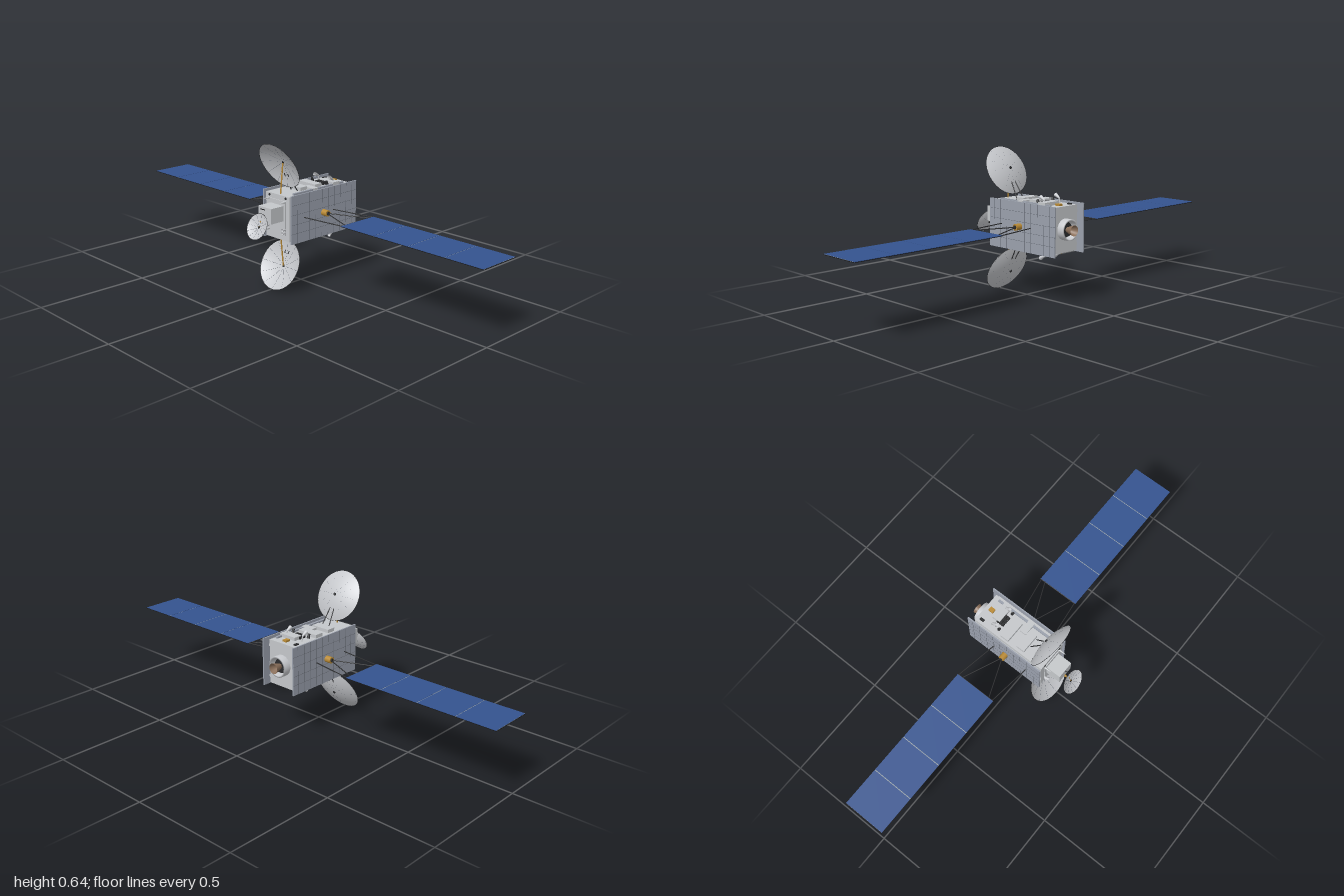
import * as THREE from 'three';

const CY = 0.322; // height of the satellite's long axis

function mat(name, color, double = false) {
  const m = new THREE.MeshStandardMaterial({ color, side: double ? THREE.DoubleSide : THREE.FrontSide });
  m.name = name;
  return m;
}

export function createModel() {
  const root = new THREE.Group();
  root.name = 'satellite';
  const M = {
    body: mat('light grey', 0xc4c7ca),
    panel: mat('blue grey', 0x9aa0ac),
    line: mat('seam grey', 0x666b75),
    dish: mat('dish grey', 0xc6c8cc, true),
    gold: mat('gold', 0xb98a35),
    dark: mat('dark grey', 0x2b2c2e),
    cell: mat('solar blue', 0x34538f),
    black: mat('black', 0x141416),
    engine: mat('engine brown', 0x8a6f5a, true),
    gap: mat('pale gap', 0x9aa3a8),
  };
  const V = (x, y, z) => new THREE.Vector3(x, y, z);
  const UP = V(0, 1, 0);

  function add(name, geo, material, x = 0, y = 0, z = 0, parent = root) {
    const mesh = new THREE.Mesh(geo, material);
    mesh.name = name;
    mesh.position.set(x, y, z);
    parent.add(mesh);
    return mesh;
  }
  const box = (name, m, w, h, d, x, y, z) => add(name, new THREE.BoxGeometry(w, h, d), m, x, y, z);

  // Straight rod or cone between two points
  function rod(name, m, a, b, r1, r2 = r1, sides = 10, open = false) {
    const dir = b.clone().sub(a), mid = a.clone().add(b).multiplyScalar(0.5);
    const mesh = add(name, new THREE.CylinderGeometry(r2, r1, dir.length(), sides, 1, open), m, mid.x, mid.y, mid.z);
    mesh.quaternion.setFromUnitVectors(UP, dir.normalize());
    return mesh;
  }

  // Parabolic dish: rim centre, facing direction, radius and depth
  function dish(name, centre, facing, R, depth) {
    const g = new THREE.Group();
    g.name = name;
    g.position.copy(centre).addScaledVector(facing, -depth);
    g.quaternion.setFromUnitVectors(UP, facing);
    const pts = [];
    for (let i = 0; i <= 12; i++) pts.push(new THREE.Vector2(R * i / 12, depth * (i / 12) ** 2));
    add('reflector', new THREE.LatheGeometry(pts, 48), M.dish, 0, 0, 0, g);
    const rim = add('rim', new THREE.TorusGeometry(R, 0.001, 6, 48), M.dark, 0, depth, 0, g);
    rim.rotation.x = Math.PI / 2;
    // fine ribs lying on the inside of the reflector
    for (let k = 0; k < 12; k++) {
      const path = new THREE.CatmullRomCurve3([0.15, 0.4, 0.7, 0.97].map(t => V(R * t, depth * t * t + 0.0003, 0)));
      const rib = add('rib', new THREE.TubeGeometry(path, 8, 0.0005, 4), M.line, 0, 0, 0, g);
      rib.rotation.y = k * Math.PI / 6;
    }
    add('hub', new THREE.CylinderGeometry(0.006, 0.006, 0.006, 16), M.dark, 0, -0.001, 0, g);
    root.add(g);
  }

  // Core body and front tower
  box('coreBody', M.body, 0.146, 0.196, 0.362, 0, CY - 0.001, -0.045);
  box('frontTower', M.body, 0.08, 0.067, 0.075, 0, 0.3435, 0.1725);
  box('towerBase', M.body, 0.1, 0.15, 0.005, 0, CY, 0.138);

  for (const s of [-1, 1]) {
    // Large side panels with seams on the outside
    box('sidePanel', M.panel, 0.006, 0.212, 0.393, s * 0.086, 0.321, -0.0565);
    for (let i = 0; i < 10; i++)
      box('panelSeam', M.line, 0.001, 0.212, 0.0013, s * 0.0891, 0.321, 0.108 - i * 0.037);
    for (const y of [0.385, 0.343, 0.3, 0.26])
      box('panelSeam', M.line, 0.001, 0.0013, 0.393, s * 0.0891, y, -0.0565);
    for (const y of [0.25, 0.39])
      box('panelBracket', M.body, 0.012, 0.012, 0.34, s * 0.078, y, -0.05);

    // Wing drive and yoke
    rod('wingDrive', M.gold, V(s * 0.088, CY, -0.048), V(s * 0.118, CY, -0.048), 0.014, 0.014, 20);
    rod('wingDriveCap', M.dark, V(s * 0.118, CY, -0.048), V(s * 0.122, CY, -0.048), 0.008, 0.008, 16);
    for (const [z0, z1] of [[-0.048, -0.125], [-0.048, 0.022], [-0.11, -0.145], [0.065, 0.04]])
      rod('yokeStrut', M.dark, V(s * (z0 === -0.048 ? 0.11 : 0.088), CY, z0), V(s * 0.287, CY, z1), 0.0022);
    rod('yokeBar', M.dark, V(s * 0.286, CY, -0.148), V(s * 0.286, CY, 0.044), 0.002);

    // Solar wing: four cell panels, dark backing, pale gaps
    box('wingBacking', M.black, 0.715, 0.002, 0.196, s * 0.6425, CY - 0.0012, -0.052);
    box('wingGap', M.gap, 0.713, 0.001, 0.194, s * 0.6425, CY + 0.0001, -0.052);
    for (let i = 0; i < 4; i++)
      box('solarPanel', M.cell, 0.1755, 0.002, 0.195, s * (0.374 + i * 0.179), CY + 0.0008, -0.052);
  }

  // Upper and lower equipment decks
  for (const s of [1, -1]) {
    const Y = d => CY + s * d;
    const tag = s > 0 ? 'upper' : 'lower';
    dish(tag + 'Dish', V(0, Y(0.2195), 0.127), V(0, -s * 0.449, 0.894).normalize(), 0.1113, 0.026);
    rod(tag + 'FeedMast', M.gold, V(0, Y(0.09), 0.12), V(0, Y(0.228), 0.106), 0.003);
    for (const x of [-0.02, 0.02])
      rod(tag + 'DishBrace', M.dark, V(x, Y(0.095), 0.038), V(x * 0.5, Y(0.178), 0.088), 0.0022);
    box('deckBox', M.body, 0.09, 0.016, 0.04, -0.015, Y(0.104), 0.012);
    box('deckBox', M.body, 0.1, 0.016, 0.04, -0.015, Y(0.104), -0.07);
    box('deckBox', M.body, 0.085, 0.016, 0.04, 0.022, Y(0.104), -0.152);
    box('deckBox', M.body, 0.06, 0.012, 0.03, 0.035, Y(0.101), -0.025);
    box('deckRail', M.panel, 0.01, 0.01, 0.3, 0.058, Y(0.1), -0.05);
    // dark vent block
    for (let i = 0; i < 3; i++)
      for (let j = 0; j < 3; j++)
        box('ventCell', M.dark, 0.014, 0.012, 0.011, -0.017 + i * 0.017, Y(0.103), -0.115 - j * 0.013);
    box('deckSensor', M.gold, 0.02, 0.01, 0.024, 0.005, Y(0.1), -0.195);
    box('deckHatch', M.dark, 0.012, 0.008, 0.02, -0.055, Y(0.098), -0.2);
    // tilted thrusters
    for (const x of [-0.045, 0.045]) {
      rod('thruster', M.dish, V(x, Y(0.12), -0.15), V(x, Y(0.132), -0.127), 0.004, 0.009, 14, true);
      rod('thrusterMount', M.body, V(x, Y(0.095), -0.155), V(x, Y(0.121), -0.149), 0.003);
      rod('thrusterBlock', M.dark, V(x, Y(0.1), -0.116), V(x, Y(0.119), -0.109), 0.007, 0.005, 12);
    }
  }

  // Small front dish with its mast and antenna rods
  dish('frontDish', V(0, 0.302, 0.254), V(0, 0.45, 0.89).normalize(), 0.057, 0.013);
  rod('frontDishMast', M.gold, V(0, 0.317, 0.208), V(0, 0.297, 0.243), 0.003);
  rod('frontDishMast', M.gold, V(0, 0.29, 0.2), V(0, 0.32, 0.236), 0.003);
  rod('antennaRod', M.dark, V(0, 0.365, 0.208), V(0, 0.376, 0.235), 0.002);

  // Small front thrusters
  for (const x of [-0.05, 0.05]) {
    for (const y of [0.26, 0.275])
      rod('frontThruster', M.dish, V(x, y, 0.138), V(x, y, 0.157), 0.003, 0.006, 14, true);
    rod('frontSensor', M.body, V(x, 0.396, 0.138), V(x, 0.396, 0.17), 0.005, 0.001, 12);
    const port = add('frontPort', new THREE.CylinderGeometry(0.005, 0.005, 0.004, 14), M.dark, x, 0.41, 0.137);
    port.rotation.x = Math.PI / 2;
  }

  // Main engine: mounting ring, inner plate and bell
  const ring = add('engineRing', new THREE.LatheGeometry(
    [[0.046, 0], [0.046, 0.034], [0.039, 0.034], [0.036, 0]].map(p => new THREE.Vector2(...p)), 36), M.dish, 0, CY, -0.224);
  ring.rotation.x = -Math.PI / 2;
  rod('engineRim', M.dark, V(0, CY, -0.226), V(0, CY, -0.24), 0.036, 0.03, 32);
  const bell = add('engineBell', new THREE.LatheGeometry(
    [[0.01, 0], [0.015, 0.015], [0.02, 0.028], [0.023, 0.042]].map(p => new THREE.Vector2(...p)), 32), M.engine, 0, CY, -0.238);
  bell.rotation.x = -Math.PI / 2;

  return root;
}
